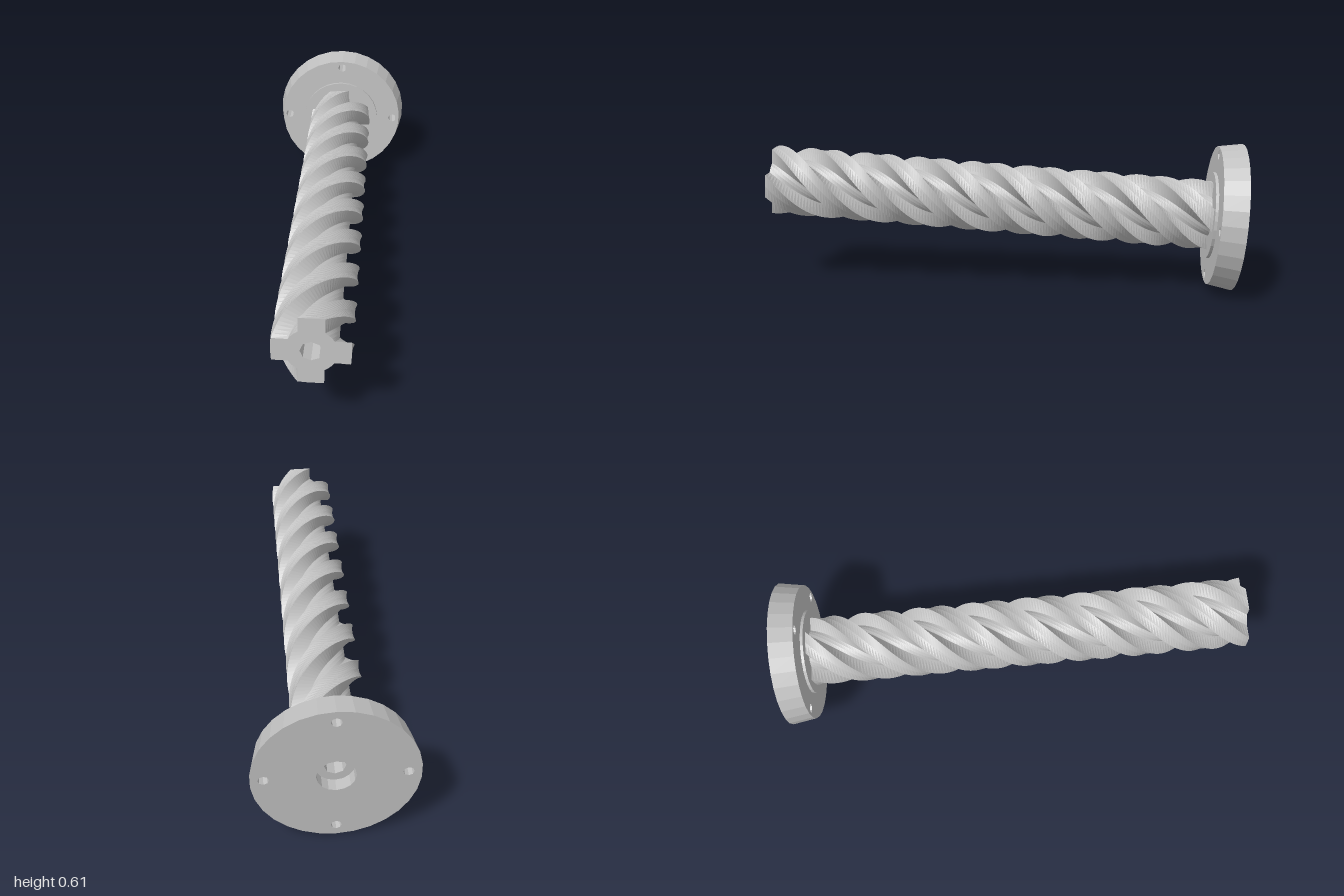
import * as THREE from 'three';

const steel = new THREE.MeshStandardMaterial({ color: 0xc0c0c0, flatShading: true });
steel.name = 'plain grey';

// Key sizes, measured along the screw axis (+z, starting at the flange back)
const LENGTH = 1.957, FLANGE = 0.1, BOSS = 0.112, SINK = 0.05;
const BACK_R = 0.306, FRONT_R = 0.289, BOSS_R = 0.18, SINK_R = 0.072, BORE_R = 0.04;
const BOLT_R = 0.02, BOLT_CIRCLE = 0.257, SIDES = 30, HOLE_SIDES = 8;
const boltCentres = [0, 1, 2, 3].map(i => {
  const a = i * Math.PI / 2;
  return [BOLT_CIRCLE * Math.cos(a), BOLT_CIRCLE * Math.sin(a)];
});

// Regular polygon whose corners line up with the turned parts
function ring(r, n, cx = 0, cy = 0) {
  return Array.from({ length: n }, (_, i) => {
    const a = i / n * Math.PI * 2;
    return new THREE.Vector2(cx + r * Math.sin(a), cy - r * Math.cos(a));
  });
}

// Flat plate with holes, facing +z
function plate(outline, holes) {
  const shape = new THREE.Shape(outline);
  shape.holes = holes.map(h => new THREE.Path(h));
  return new THREE.ShapeGeometry(shape);
}

// Turned surface from [radius, z] pairs; rising z faces outwards
function turned(points, n) {
  return new THREE.LatheGeometry(points.map(p => new THREE.Vector2(...p)), n).rotateX(Math.PI / 2);
}

// Four-armed cross section with rounded valleys, anticlockwise
function crossSection() {
  const half = 0.047, out = 0.138, core = 0.093, points = [];
  const start = Math.asin(half / core);
  for (let q = 0; q < 4; q++) {
    const turn = q * Math.PI / 2;
    const quarter = [new THREE.Vector2(out, -half), new THREE.Vector2(out + 0.002, 0), new THREE.Vector2(out, half)];
    for (let k = 0; k < 4; k++) {
      const a = start + (Math.PI / 2 - 2 * start) * k / 3;
      quarter.push(new THREE.Vector2(core * Math.cos(a), core * Math.sin(a)));
    }
    quarter.forEach(p => points.push(p.rotateAround(new THREE.Vector2(), turn)));
  }
  return points;
}

// Sweep the section along the axis with two full right-handed turns
function twistedSides(section, z0, z1, slices, twist) {
  const pos = [], index = [], n = section.length;
  for (let s = 0; s <= slices; s++) {
    const t = s / slices, c = Math.cos(t * twist), d = Math.sin(t * twist);
    for (const p of section) pos.push(p.x * c - p.y * d, p.x * d + p.y * c, z0 + (z1 - z0) * t);
  }
  for (let s = 0; s < slices; s++) {
    for (let i = 0; i < n; i++) {
      const a = s * n + i, b = s * n + (i + 1) % n;
      index.push(a, b, b + n, a, b + n, a + n);
    }
  }
  const g = new THREE.BufferGeometry();
  g.setAttribute('position', new THREE.Float32BufferAttribute(pos, 3));
  g.setIndex(index);
  g.computeVertexNormals();
  return g;
}

export function createModel() {
  const model = new THREE.Group();
  model.name = 'flangedScrew';
  const add = (name, geometry) => {
    const mesh = new THREE.Mesh(geometry, steel);
    mesh.name = name;
    model.add(mesh);
    return mesh;
  };

  // Flange: tapered rim, two drilled faces and a low boss
  const boltHoles = boltCentres.map(([x, y]) => ring(BOLT_R, HOLE_SIDES, x, y));
  add('flangeRim', turned([[BACK_R, 0], [FRONT_R, FLANGE]], SIDES));
  add('flangeFront', plate(ring(FRONT_R, SIDES), [ring(BOSS_R, SIDES), ...boltHoles]).translate(0, 0, FLANGE));
  add('flangeBack', plate(ring(BACK_R, SIDES), [ring(SINK_R, 16), ...boltHoles]).rotateY(Math.PI));
  add('boss', turned([[BOSS_R, FLANGE], [BOSS_R, BOSS], [0.06, BOSS]], SIDES));

  // Bolt hole walls
  for (const [x, y] of boltCentres) {
    add('boltHole', turned([[BOLT_R, FLANGE], [BOLT_R, 0]], HOLE_SIDES).translate(x, y, 0));
  }

  // Counterbore at the back and the bore through the whole screw
  add('counterbore', turned([[SINK_R, SINK], [SINK_R, 0]], 16));
  add('counterboreFloor', plate(ring(SINK_R, 16), [ring(BORE_R, HOLE_SIDES)]).rotateY(Math.PI).translate(0, 0, SINK));
  add('bore', turned([[BORE_R, LENGTH], [BORE_R, SINK]], HOLE_SIDES));

  // Twisted shaft and its end face
  const section = crossSection();
  add('twistedShaft', twistedSides(section, FLANGE, LENGTH, 160, Math.PI * 4));
  add('shaftEnd', plate(section, [ring(BORE_R, HOLE_SIDES)]).translate(0, 0, LENGTH));

  // Lean the screw so that it rises towards the front and its left
  const from = new THREE.Vector3(-0.034, 0.306, -0.959), to = new THREE.Vector3(0.195, 0.437, 0.98);
  model.quaternion.setFromUnitVectors(new THREE.Vector3(0, 0, 1), to.sub(from).normalize());
  model.position.copy(from);

  const root = new THREE.Group();
  root.name = 'model';
  root.add(model);
  return root;
}
